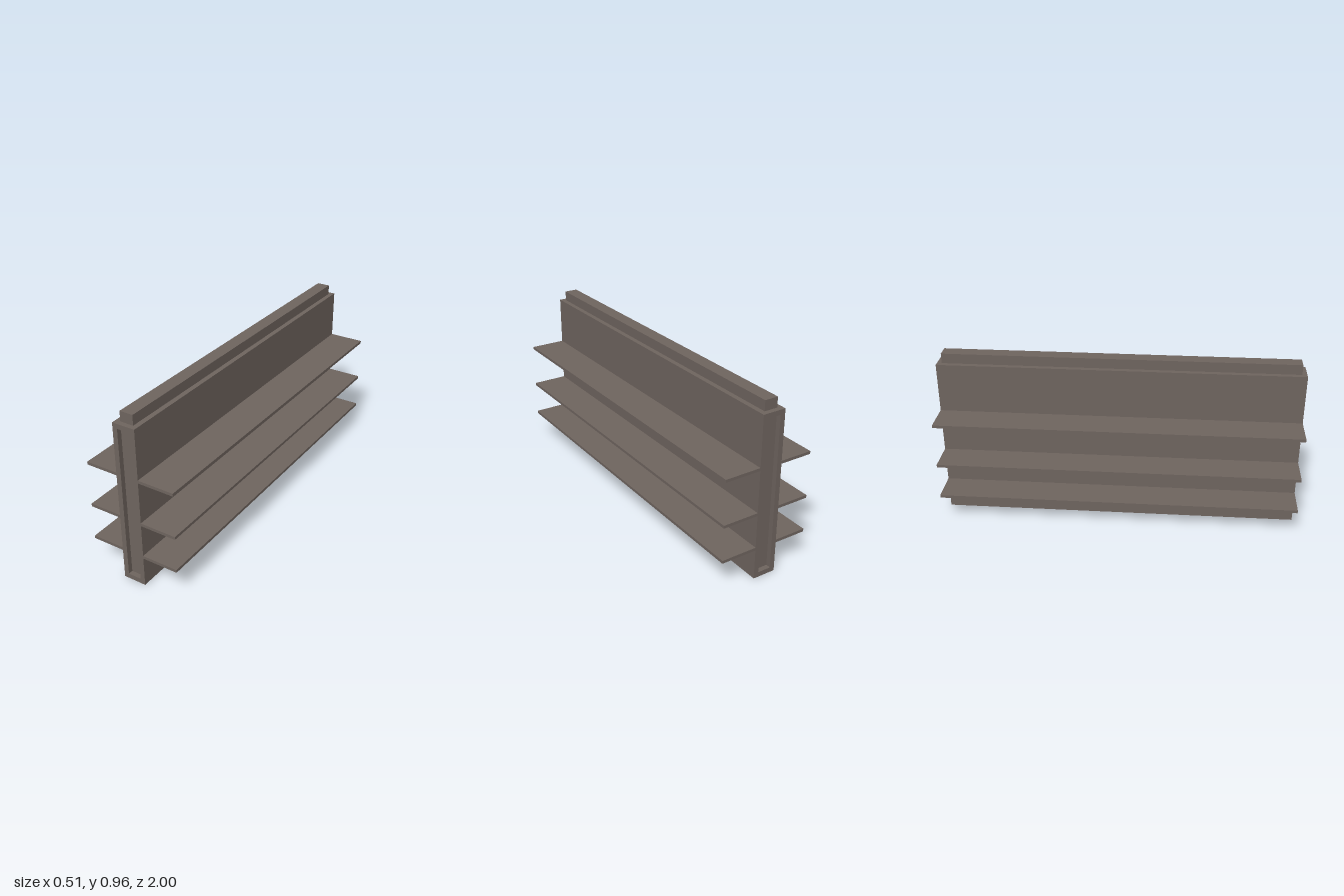
import * as THREE from 'three';

export function createModel() {
  const model = new THREE.Group();
  model.name = 'wallShelf';
  const stone = new THREE.MeshStandardMaterial({ color: 0x6f655f });
  stone.name = 'warm grey';

  // Box given by its limits on each axis
  function box(name, [x0, x1], [y0, y1], [z0, z1]) {
    const mesh = new THREE.Mesh(new THREE.BoxGeometry(x1 - x0, y1 - y0, z1 - z0), stone);
    mesh.position.set((x0 + x1) / 2, (y0 + y1) / 2, (z0 + z1) / 2);
    mesh.name = name;
    model.add(mesh);
  }

  const left = -0.075, right = 0.054, height = 0.907, rim = 0.027;
  const inner = 1 - rim;

  // Central wall and the narrower rail along its top
  box('wallCore', [left, right], [0, height], [-inner, inner]);
  box('topRail', [left + rim, right - rim], [height, 0.963], [-inner, inner]);

  // Raised frame around the recessed panel at each end
  const frame = new THREE.Shape([
    new THREE.Vector2(left, 0), new THREE.Vector2(right, 0),
    new THREE.Vector2(right, height), new THREE.Vector2(left, height),
  ]);
  frame.holes.push(new THREE.Path([
    new THREE.Vector2(left + rim, rim), new THREE.Vector2(left + rim, height - rim),
    new THREE.Vector2(right - rim, height - rim), new THREE.Vector2(right - rim, rim),
  ]));
  const frameGeometry = new THREE.ExtrudeGeometry(frame, { depth: rim, bevelEnabled: false });
  for (const [name, z] of [['frontFrame', inner], ['backFrame', -1]]) {
    const mesh = new THREE.Mesh(frameGeometry, stone);
    mesh.name = name;
    mesh.position.z = z;
    model.add(mesh);
  }

  // Three thin shelves on each side of the wall
  for (const y of [0.168, 0.367, 0.615]) {
    box('rightShelf', [-0.257, left], [y, y + 0.016], [-1, 1]);
    box('leftShelf', [right, 0.257], [y, y + 0.016], [-1, 1]);
  }
  return model;
}
